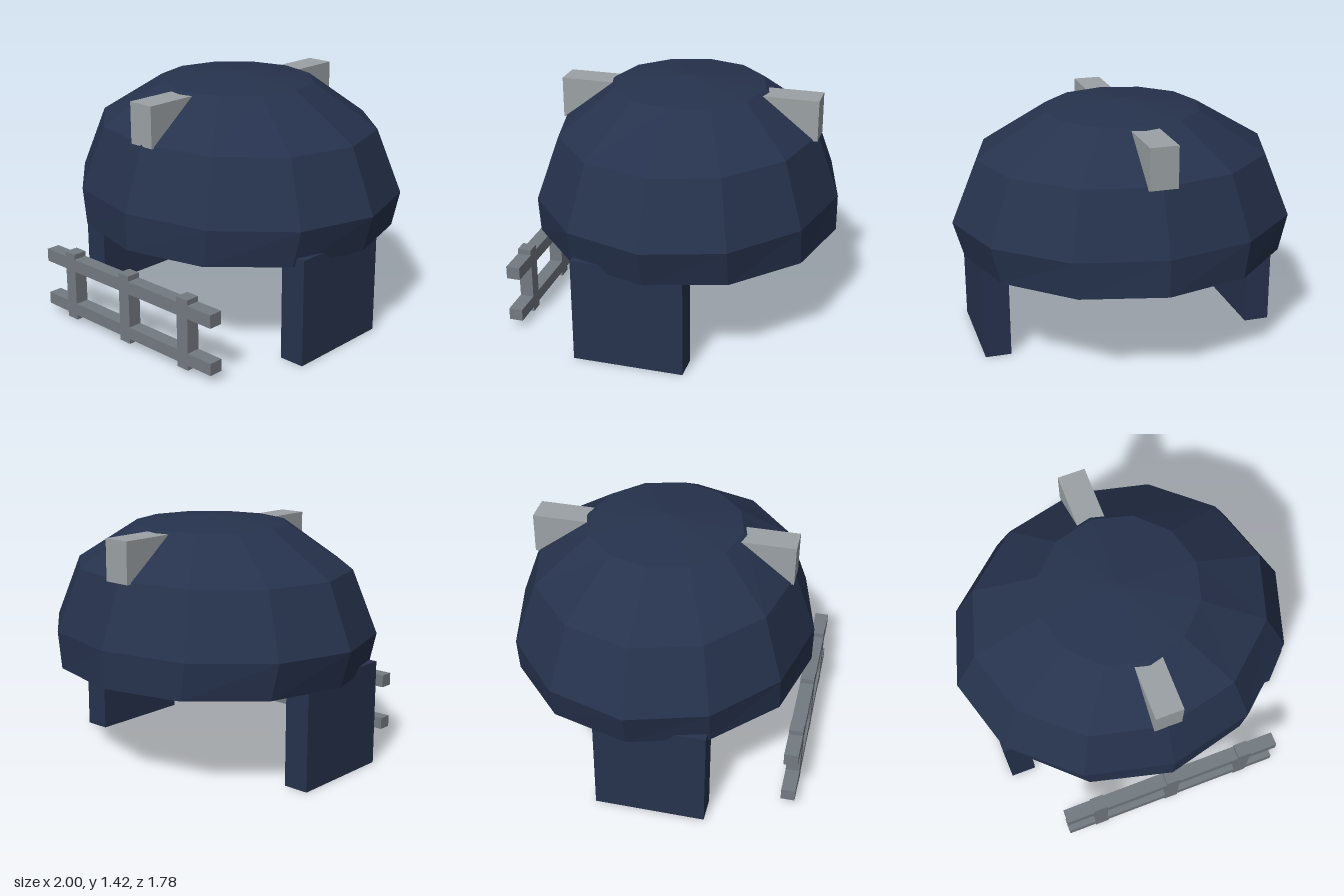
import * as THREE from 'three';

const paint = (color, side = THREE.FrontSide) =>
  new THREE.MeshStandardMaterial({ color, side, flatShading: true });

// Box given by its lower and upper limits on each axis
function box(name, [x0, x1], [y0, y1], [z0, z1], material) {
  const mesh = new THREE.Mesh(new THREE.BoxGeometry(x1 - x0, y1 - y0, z1 - z0), material);
  mesh.position.set((x0 + x1) / 2, (y0 + y1) / 2, (z0 + z1) / 2);
  mesh.name = name;
  return mesh;
}

// Twelve-sided open shell; each ring is [x radius, y, z radius]
function domeGeometry() {
  const rings = [[0.94, 0.56, 0.875], [1, 0.77, 0.875], [0.85, 1.13, 0.745], [0.45, 1.37, 0.44], [0, 1.42, 0]];
  const sides = 12;
  const point = ([rx, y, rz], i) => {
    const a = (i / sides) * Math.PI * 2;
    return [rx * Math.sin(a), y, rz * Math.cos(a) - 0.015];
  };
  const positions = [];
  for (let r = 0; r < rings.length - 1; r++) {
    for (let i = 0; i < sides; i++) {
      const a = point(rings[r], i), b = point(rings[r], i + 1);
      const c = point(rings[r + 1], i + 1), d = point(rings[r + 1], i);
      positions.push(...a, ...b, ...c);
      if (rings[r + 1][0] > 0) positions.push(...a, ...c, ...d);
    }
  }
  const geometry = new THREE.BufferGeometry();
  geometry.setAttribute('position', new THREE.Float32BufferAttribute(positions, 3));
  geometry.computeVertexNormals();
  return geometry;
}

export function createModel() {
  const model = new THREE.Group();
  model.name = 'domedShelter';
  const navy = paint(0x26324d);
  const lightGrey = paint(0x9ba1a5);
  const darkGrey = paint(0x737a81);

  // Dome shell, open underneath
  const dome = new THREE.Mesh(domeGeometry(), paint(0x26324d, THREE.DoubleSide));
  dome.name = 'dome';
  model.add(dome);

  // Beam running through the dome from front to back
  model.add(box('roofBeam', [-0.08, 0.08], [1.12, 1.355], [-0.77, 0.73], lightGrey));

  // Slab legs
  model.add(box('leftLeg', [0.73, 0.88], [0, 0.61], [-0.22, 0.41], navy));
  model.add(box('rightLeg', [-0.88, -0.73], [0, 0.61], [-0.22, 0.41], navy));

  // Fence in front: two rails and three posts
  const fence = new THREE.Group();
  fence.name = 'fence';
  const depth = [0.81, 0.89];
  fence.add(box('lowerRail', [-0.665, 0.665], [0.05, 0.12], depth, darkGrey));
  fence.add(box('upperRail', [-0.665, 0.665], [0.32, 0.395], depth, darkGrey));
  for (const x of [-0.457, 0, 0.457]) {
    fence.add(box('post', [x - 0.04, x + 0.04], [0.02, 0.425], depth, darkGrey));
  }
  model.add(fence);

  return model;
}
